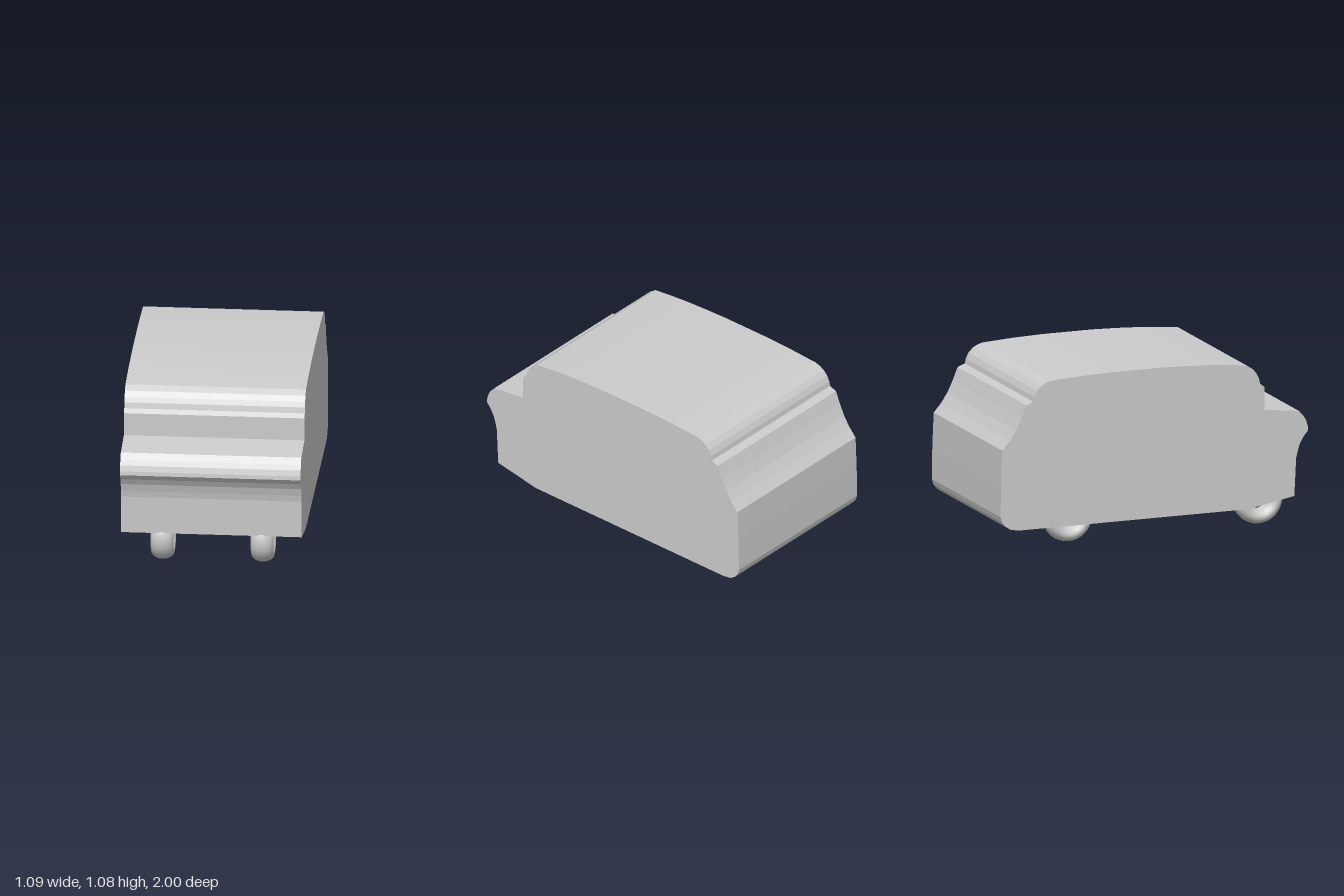
import * as THREE from 'three';

// Side profile as (z, y): up the nose, over the roof, down the tail
const PROFILE = [
  [0.91, 0.207], [0.922, 0.44], [0.931, 0.48], [0.947, 0.53], [0.971, 0.57], [1, 0.606],
  [0.998, 0.63], [0.988, 0.665], [0.972, 0.695], [0.94, 0.73],
  [0.715, 0.757], [0.715, 0.898], [0.688, 0.92], [0.68, 0.955], [0.665, 0.985], [0.64, 1.015], [0.6, 1.041],
  [0.48, 1.054], [0.36, 1.064], [0.2, 1.072], [0.04, 1.077], [-0.28, 1.077], [-0.48, 1.071], [-0.67, 1.06],
  [-0.705, 1.05], [-0.735, 1.033], [-0.762, 1.005], [-0.78, 0.97], [-0.786, 0.94], [-0.833, 0.922],
  [-0.866, 0.84], [-0.9, 0.77], [-0.94, 0.71], [-0.988, 0.655],
  [-0.997, 0.45], [-1, 0.245], [-0.99, 0.212], [-0.97, 0.185], [-0.935, 0.162], [-0.88, 0.152],
];
const FLOOR = 0.152, HALF_WIDTH = 0.545, WELL_INNER = 0.182, WELL_OUTER = 0.425;
const AXLES = [-0.468, 0.768], WELL_RADIUS = 0.205, SKIN = 0.905;
const WHEEL_X = 0.302, WHEEL_Y = 0.155;

// Half-circle arch over an axle, running tail to nose, stopped by the front skin
function arch(z) {
  const points = [];
  for (let i = 0; i <= 24; i++) {
    const a = Math.PI * (1 - i / 24);
    const p = [z + WELL_RADIUS * Math.cos(a), FLOOR + WELL_RADIUS * Math.sin(a)];
    if (p[0] < SKIN) points.push(p);
  }
  return points;
}

function bodyShape(withWells) {
  const points = [...PROFILE];
  if (withWells) {
    points.push(...arch(AXLES[0]), ...arch(AXLES[1]));
    points.push([SKIN, 0.303], [SKIN, 0.208]);
  } else {
    points.push([0.61, FLOOR]);
  }
  return new THREE.Shape(points.map(([z, y]) => new THREE.Vector2(z, y)));
}

// Slice of the body between two x positions
function bodySlice(name, x0, x1, withWells, material) {
  const geometry = new THREE.ExtrudeGeometry(bodyShape(withWells), { depth: x1 - x0, bevelEnabled: false });
  geometry.rotateY(-Math.PI / 2).translate(x1, 0, 0);
  const mesh = new THREE.Mesh(geometry, material);
  mesh.name = name;
  return mesh;
}

export function createModel() {
  const model = new THREE.Group();
  model.name = 'van';
  const grey = new THREE.MeshStandardMaterial({ color: 0xcccccc });
  grey.name = 'light grey';

  // Body, open underneath only where the wheels sit
  const body = new THREE.Group();
  body.name = 'body';
  body.add(
    bodySlice('rightSide', -HALF_WIDTH, -WELL_OUTER, false, grey),
    bodySlice('rightWheelWells', -WELL_OUTER, -WELL_INNER, true, grey),
    bodySlice('middle', -WELL_INNER, WELL_INNER, false, grey),
    bodySlice('leftWheelWells', WELL_INNER, WELL_OUTER, true, grey),
    bodySlice('leftSide', WELL_OUTER, HALF_WIDTH, false, grey),
  );
  model.add(body);

  // Ring-shaped wheels, stretched sideways
  const tyre = new THREE.TorusGeometry(0.109, 0.046, 20, 48);
  tyre.rotateY(Math.PI / 2).scale(1.5, 1, 1);
  for (const [end, z] of [['rear', AXLES[0]], ['front', AXLES[1]]]) {
    for (const [side, sign] of [['Right', -1], ['Left', 1]]) {
      const wheel = new THREE.Mesh(tyre, grey);
      wheel.name = `${end}${side}Wheel`;
      wheel.position.set(sign * WHEEL_X, WHEEL_Y, z);
      model.add(wheel);
    }
  }
  return model;
}
